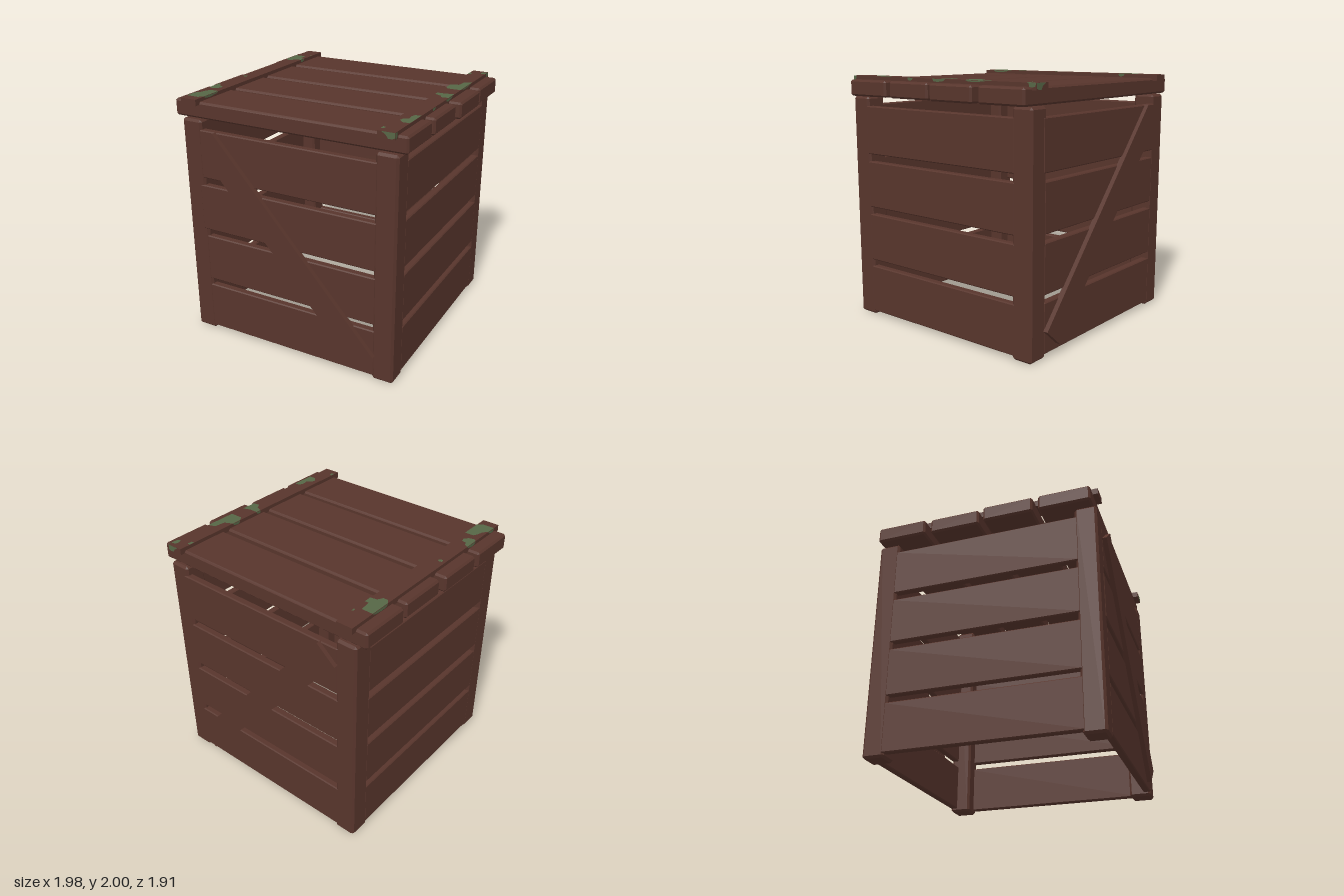
import * as THREE from 'three';
import { ConvexGeometry } from 'three/addons/geometries/ConvexGeometry.js';

const wood = new THREE.MeshStandardMaterial({ color: 0x58352c });
wood.name = 'brown wood';
const moss = new THREE.MeshStandardMaterial({ color: 0x566646, side: THREE.DoubleSide });
moss.name = 'green moss';

// Box with every edge chamfered by c
function chamferBox(w, h, d, c) {
  const points = [];
  for (const sx of [-1, 1]) for (const sy of [-1, 1]) for (const sz of [-1, 1]) {
    const [x, y, z] = [w / 2, h / 2, d / 2];
    points.push(
      new THREE.Vector3(sx * x, sy * (y - c), sz * (z - c)),
      new THREE.Vector3(sx * (x - c), sy * y, sz * (z - c)),
      new THREE.Vector3(sx * (x - c), sy * (y - c), sz * z));
  }
  return new ConvexGeometry(points);
}

// Chamfered beam given by its extents on each axis
function beam(name, [x0, x1], [y0, y1], [z0, z1], c) {
  const mesh = new THREE.Mesh(chamferBox(x1 - x0, y1 - y0, z1 - z0, c), wood);
  mesh.name = name;
  mesh.position.set((x0 + x1) / 2, (y0 + y1) / 2, (z0 + z1) / 2);
  return mesh;
}

// Flat moss patch; place maps each outline point (a, b) into space
function mossPatch(outline, place) {
  const geometry = new THREE.ShapeGeometry(new THREE.Shape(outline.map(p => new THREE.Vector2(...p))));
  const pos = geometry.attributes.position;
  for (let i = 0; i < pos.count; i++) pos.setXYZ(i, ...place(pos.getX(i), pos.getY(i)));
  geometry.computeVertexNormals();
  // Turn the face outward when the mapping flipped it
  const n = geometry.attributes.normal;
  const out = place(0, 0, true);
  if (n.getX(0) * out[0] + n.getY(0) * out[1] + n.getZ(0) * out[2] < 0) {
    geometry.index.array.reverse();
    geometry.computeVertexNormals();
  }
  const mesh = new THREE.Mesh(geometry, moss);
  mesh.name = 'mossPatch';
  return mesh;
}

export function createModel() {
  const crate = new THREE.Group();
  crate.name = 'crate';

  // Corner posts
  for (const sx of [-1, 1]) for (const sz of [-1, 1]) {
    const post = beam('cornerPost', [-0.0875, 0.0875], [0, 1.835], [-0.0875, 0.0875], 0.018);
    post.position.x = sx * 0.823;
    post.position.z = sz * 0.83;
    crate.add(post);
  }

  // Slatted walls
  const rows = [[0.03, 0.425], [0.48, 0.87], [0.93, 1.31], [1.37, 1.76]];
  rows.forEach((y, i) => {
    const frontOut = i === 2 ? 0.922 : 0.918;
    const backOut = i === 3 ? 0.922 : 0.918;
    crate.add(beam('frontPlank', [i === 2 ? -0.78 : -0.755, 0.755], y, [frontOut - 0.06, frontOut], 0.008));
    crate.add(beam('backPlank', [-0.755, i === 3 ? 0.775 : 0.755], y, [-backOut, 0.06 - backOut], 0.008));
    for (const s of [-1, 1]) {
      const side = beam('sidePlank', [-0.03, 0.03], y, [-0.765, 0.765], 0.008);
      side.position.x = s * 0.881;
      crate.add(side);
    }
  });

  // Diagonal braces on front and back
  for (const s of [-1, 1]) {
    const brace = new THREE.Mesh(new THREE.BoxGeometry(2.065, 0.205, 0.045), wood);
    brace.name = s > 0 ? 'frontBrace' : 'backBrace';
    brace.position.set(0.002, 0.92, s * 0.9325);
    brace.rotation.z = Math.atan2(-1.55, 1.365);
    crate.add(brace);
  }

  // Lid planks, slightly staggered
  const lid = new THREE.Group();
  lid.name = 'lid';
  const lidPlanks = [
    [[-0.985, 0.975], [-0.9, -0.485]],
    [[-0.97, 0.99], [-0.44, -0.025]],
    [[-0.99, 0.965], [0.02, 0.43]],
    [[-0.99, 0.965], [0.475, 0.89]],
  ];
  for (const [x, z] of lidPlanks) lid.add(beam('lidPlank', x, [1.84, 1.97], z, 0.015));

  // Cleats across the lid
  const cleats = [[-0.892, -0.757], [0.755, 0.887]];
  for (const [x0, x1] of cleats) {
    const cleat = new THREE.Mesh(new THREE.BoxGeometry(x1 - x0, 0.05, 1.87), wood);
    cleat.name = 'lidCleat';
    cleat.position.set((x0 + x1) / 2, 1.9735, -0.003);
    lid.add(cleat);
  }

  // Moss on the cleat tops, outlines in (x, z)
  const topMoss = [
    [[-.892, -.72], [-.8, -.72], [-.79, -.63], [-.757, -.63], [-.757, -.57], [-.81, -.56], [-.83, -.52], [-.87, -.52], [-.892, -.55]],
    [[-.77, -.77], [-.757, -.78], [-.757, -.745], [-.77, -.75]],
    [[-.87, .145], [-.84, .14], [-.83, .16], [-.845, .175], [-.865, .17]],
    [[-.892, .46], [-.86, .48], [-.85, .51], [-.81, .52], [-.8, .56], [-.83, .59], [-.87, .6], [-.892, .58]],
    [[-.83, .65], [-.757, .65], [-.757, .83], [-.79, .86], [-.892, .86], [-.892, .77], [-.86, .74], [-.85, .69]],
    [[.85, -.9], [.887, -.91], [.887, -.85], [.86, -.84], [.845, -.87]],
    [[.755, -.845], [.78, -.84], [.78, -.8], [.755, -.8]],
    [[.83, -.51], [.887, -.53], [.887, -.27], [.78, -.27], [.755, -.31], [.755, -.39], [.82, -.42]],
    [[.755, -.12], [.82, -.12], [.887, -.14], [.887, -.015], [.83, -.01], [.81, -.05], [.755, -.075]],
    [[.84, .51], [.887, .5], [.887, .7], [.83, .7], [.795, .66], [.8, .63], [.84, .6], [.83, .55]],
    [[.757, .84], [.78, .85], [.78, .88], [.757, .88]],
  ];
  for (const o of topMoss) lid.add(mossPatch(o, (x, z, normal) => normal ? [0, 1, 0] : [x, 2, z]));

  // Moss running down the cleat sides: [x of face, outward sign, z start, z end, bottom y]
  const sideMoss = [
    [0.887, 1, 0.9, 0.932, 1.95], [0.887, 1, 0.24, 0.3, 1.975], [0.887, 1, -0.1, 0.035, 1.975],
    [0.887, 1, -0.937, -0.87, 1.965], [0.887, 1, -0.5, -0.3, 1.985],
    [0.755, -1, -0.39, -0.31, 1.975], [0.755, -1, -0.12, -0.075, 1.975],
    [-0.892, -1, -0.72, -0.55, 1.975], [-0.892, -1, 0.46, 0.58, 1.975], [-0.892, -1, 0.77, 0.86, 1.975],
    [-0.757, 1, -0.63, -0.57, 1.975], [-0.757, 1, 0.65, 0.83, 1.98],
  ];
  for (const [x, s, z0, z1, y] of sideMoss) {
    const w = z1 - z0;
    const outline = [[z0, 1.998], [z1, 1.998], [z1 - w * 0.1, y + 0.005], [z1 - w * 0.4, y], [z0 + w * 0.15, y + 0.008]];
    lid.add(mossPatch(outline, (z, h, normal) => normal ? [s, 0, 0] : [x + s * 0.002, h, z]));
  }

  // Moss on the cleat ends
  const endMoss = [[.785, 1.998], [.885, 1.998], [.885, 1.96], [.865, 1.951], [.835, 1.951], [.82, 1.975]];
  for (const s of [-1, 1])
    lid.add(mossPatch(endMoss, (x, y, normal) => normal ? [0, 0, s] : [x, y, s * 0.935 - 0.003 + s * 0.002]));

  crate.add(lid);
  return crate;
}
